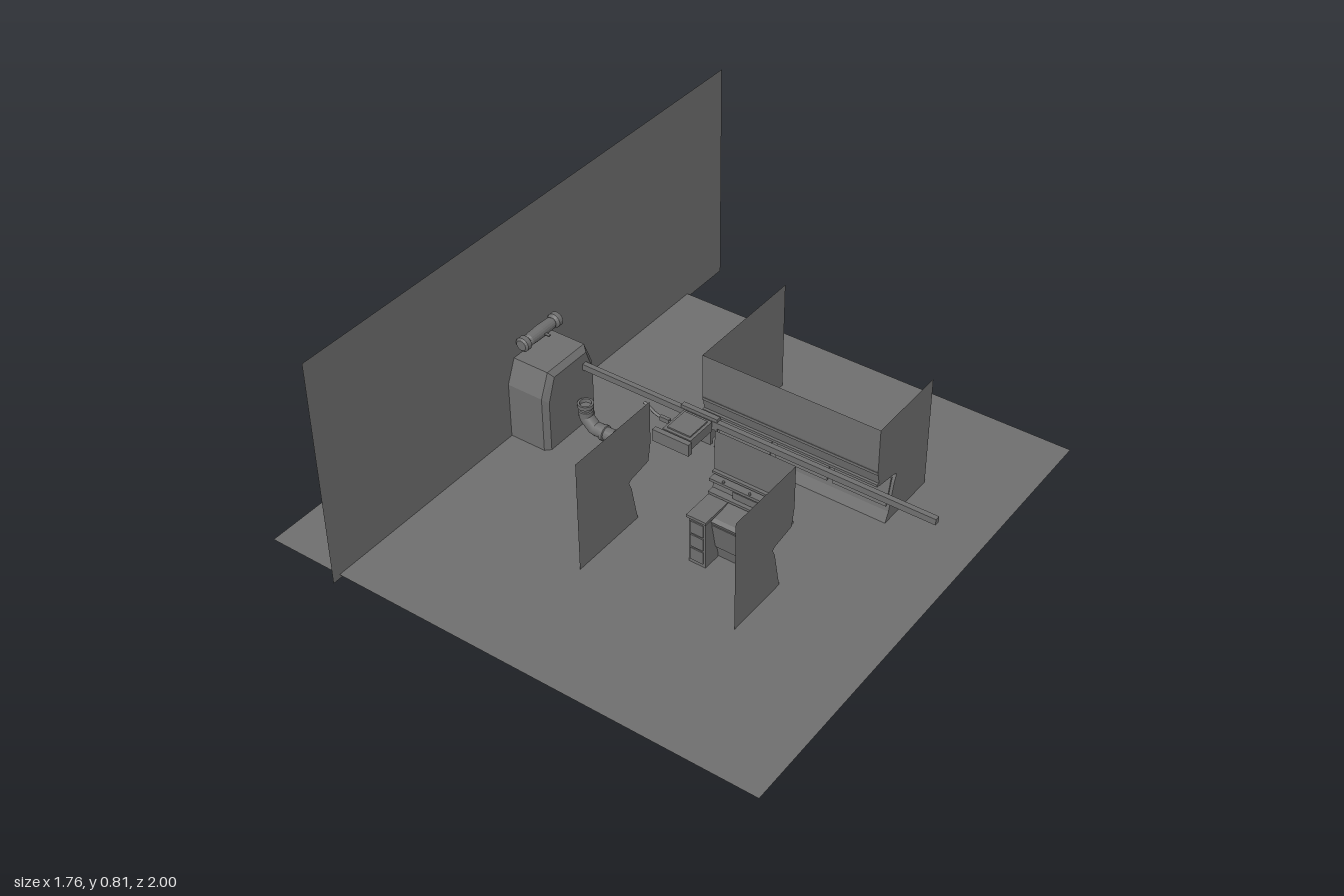
import * as THREE from 'three';

const mat = new THREE.MeshStandardMaterial({ color: 0x6f6f6f, side: THREE.DoubleSide });
const flat = new THREE.MeshStandardMaterial({ color: 0x6f6f6f, side: THREE.DoubleSide, flatShading: true });
const FLOOR = 0.016;

function add(parent, name, geo, x = 0, y = 0, z = 0, material = mat) {
  const m = new THREE.Mesh(geo, material);
  m.name = name;
  m.position.set(x, y, z);
  parent.add(m);
  return m;
}

// box given by its limits on each axis
function box(parent, name, x0, x1, y0, y1, z0, z1) {
  return add(parent, name, new THREE.BoxGeometry(x1 - x0, y1 - y0, z1 - z0),
    (x0 + x1) / 2, (y0 + y1) / 2, (z0 + z1) / 2);
}

// flat outline of [z, y] points standing in the plane x
function sidePanel(parent, name, x, pts) {
  const geo = new THREE.ShapeGeometry(new THREE.Shape(pts.map(p => new THREE.Vector2(p[0], p[1]))));
  geo.rotateY(-Math.PI / 2);
  return add(parent, name, geo, x);
}

// open sheet through cross-sections { x, pts: [z, y] }
function loft(parent, name, rings) {
  const pos = [];
  for (let i = 0; i + 1 < rings.length; i++) {
    const a = rings[i], b = rings[i + 1];
    for (let j = 0; j + 1 < a.pts.length; j++) {
      const P = (r, k) => [r.x, r.pts[k][1], r.pts[k][0]];
      pos.push(...P(a, j), ...P(a, j + 1), ...P(b, j + 1), ...P(a, j), ...P(b, j + 1), ...P(b, j));
    }
  }
  const geo = new THREE.BufferGeometry();
  geo.setAttribute('position', new THREE.Float32BufferAttribute(pos, 3));
  geo.computeVertexNormals();
  return add(parent, name, geo, 0, 0, 0, flat);
}

function group(parent, name) {
  const g = new THREE.Group();
  g.name = name;
  parent.add(g);
  return g;
}

// lathe of [radius, length] points turned to lie along an axis
function turned(parent, name, pts, axis, x, y, z) {
  const geo = new THREE.LatheGeometry(pts.map(p => new THREE.Vector2(p[0], p[1])), 18);
  if (axis === 'x') geo.rotateZ(-Math.PI / 2);
  if (axis === 'z') geo.rotateX(Math.PI / 2);
  return add(parent, name, geo, x, y, z, flat);
}

// desk profile: upright back, sloping top, lip and receding kneehole
const backProfile = [[-0.091, 0.42], [-0.091, 0.265], [-0.103, 0.2], [-0.19, 0.186],
  [-0.207, 0.178], [-0.195, 0.15], [-0.172, 0.05], [-0.155, FLOOR]];
const frontProfile = [[0.187, 0.42], [0.187, 0.265], [0.199, 0.2], [0.285, 0.186],
  [0.297, 0.178], [0.285, 0.15], [0.265, 0.05], [0.257, FLOOR]];

function desk(root, name, profile, x0, x1, side) {
  const g = group(root, name);
  loft(g, 'deskShell', [{ x: x0, pts: profile }, { x: x1, pts: profile }]);
  // stacked instrument ledges, the middle one with a row of knobs
  const z0 = profile[1][0];
  for (const [y0, y1, d] of [[0.268, 0.276, 0.012], [0.248, 0.258, 0.028], [0.203, 0.212, 0.034]]) {
    const zs = [z0, z0 + side * d].sort((a, b) => a - b);
    box(g, 'ledge', x0, x1, y0, y1, zs[0], zs[1]);
  }
  const n = Math.round((x1 - x0) / 0.1);
  for (let i = 0; i < n; i++) {
    const x = x0 + (i + 0.5) * (x1 - x0) / n;
    add(g, 'knob', new THREE.CylinderGeometry(0.004, 0.004, 0.008, 8), x, 0.26, z0 + side * 0.021);
  }
  // inset fronts under the desk, following its slope
  const [pa, pb] = [profile[5], profile[6]];
  const tilt = Math.atan2(pa[0] - pb[0], pa[1] - pb[1]);
  const bays = Math.round((x1 - x0) / 0.21);
  const w = (x1 - x0) / bays;
  for (let i = 0; i < bays; i++) {
    const m = add(g, 'kneePanel', new THREE.BoxGeometry(w - 0.02, 0.1, 0.012),
      x0 + (i + 0.5) * w, 0.115, pb[0] + (pa[0] - pb[0]) * 0.65);
    m.rotation.x = tilt;
  }
  return g;
}

export function createModel() {
  const root = new THREE.Group();
  root.name = 'controlRoom';

  // floor and long wall
  const floor = add(root, 'floor', new THREE.PlaneGeometry(1.765, 1.77), 0, FLOOR - 0.001, 0.087);
  floor.rotation.x = -Math.PI / 2;
  const wall = add(root, 'wall', new THREE.PlaneGeometry(2, 0.813), -0.613, 0.4065, 0);
  wall.rotation.y = Math.PI / 2;

  // desks and the partitions cut to their profile
  desk(root, 'rearDesk', backProfile, -0.05, 0.585, -1);
  const fd = desk(root, 'frontDesk', frontProfile, 0.19, 0.47, 1);
  const partitions = [[-0.05, backProfile, -0.55], [0.585, backProfile, -0.393],
    [-0.045, frontProfile, 0.545], [0.472, frontProfile, 0.49]];
  for (const [x, prof, zEnd] of partitions)
    sidePanel(root, 'partition', x, [...prof, [zEnd, FLOOR], [zEnd, 0.42]]);

  // cabinet wing on the front desk
  box(fd, 'cabinet', 0.195, 0.255, FLOOR, 0.19, 0.26, 0.325);
  box(fd, 'cabinetTop', 0.19, 0.26, 0.19, 0.2, 0.2, 0.332);
  for (let i = 0; i < 3; i++)
    box(fd, 'drawer', 0.202, 0.248, 0.03 + i * 0.052, 0.075 + i * 0.052, 0.325, 0.329);
  box(fd, 'instrumentBar', 0.27, 0.465, 0.215, 0.24, 0.19, 0.21);

  // machine housing through the wall, open at the back
  const housing = group(root, 'housing');
  const outer = [[0.17, FLOOR], [0.17, 0.22], [0.135, 0.304], [-0.05, 0.304], [-0.085, 0.22], [-0.085, FLOOR]];
  const inner = outer.map(([z, y]) => [0.0425 + (z - 0.0425) * 0.87, y > 0.1 ? y - 0.018 : y]);
  loft(housing, 'housingShell', [{ x: -0.677, pts: outer }, { x: -0.48, pts: outer }, { x: -0.463, pts: inner }]);
  sidePanel(housing, 'housingFace', -0.463, inner);

  // drum above the housing
  const drum = group(root, 'drum');
  turned(drum, 'drumBody', [[0, -0.093], [0.018, -0.093], [0.025, -0.087], [0.025, -0.07], [0.016, -0.062],
    [0.02, -0.055], [0.022, 0], [0.02, 0.055], [0.016, 0.062], [0.025, 0.07], [0.025, 0.087],
    [0.018, 0.093], [0, 0.093]], 'z', -0.585, 0.36, 0.037);
  box(drum, 'drumTab', -0.563, -0.545, 0.358, 0.362, 0.032, 0.042);

  // long rail
  box(root, 'rail', -0.465, 0.825, 0.228, 0.25, -0.036, -0.018);

  // carriage riding on the rail
  const carriage = group(root, 'carriage');
  box(carriage, 'carriageBody', -0.06, 0.045, 0.222, 0.258, -0.008, 0.105);
  box(carriage, 'carriageTop', -0.05, 0.035, 0.258, 0.263, 0.003, 0.094);
  for (const z of [-0.028, 0.122]) box(carriage, 'sideBar', -0.08, 0.055, 0.218, 0.262, z - 0.009, z + 0.009);
  for (const x of [-0.045, 0.03]) box(carriage, 'crossBar', x - 0.006, x + 0.006, 0.232, 0.248, -0.025, 0.118);
  const handle = new THREE.CatmullRomCurve3([[-0.06, 0.238], [-0.095, 0.24], [-0.13, 0.248], [-0.152, 0.262], [-0.172, 0.272]]
    .map(p => new THREE.Vector3(p[0], p[1], 0.047)));
  add(carriage, 'handle', new THREE.TubeGeometry(handle, 16, 0.005, 8));
  box(carriage, 'handleGrip', -0.11, -0.075, 0.232, 0.248, 0.041, 0.053);

  // elbowed duct on the floor, made of straight lengths
  const duct = group(root, 'duct');
  const bend = new THREE.CurvePath();
  const joints = [[-0.43, 0.1], [-0.43, 0.078], [-0.395, 0.045], [-0.36, 0.045]]
    .map(p => new THREE.Vector3(p[0], p[1], 0.015));
  for (let i = 0; i < 3; i++) bend.add(new THREE.LineCurve3(joints[i], joints[i + 1]));
  add(duct, 'elbow', new THREE.TubeGeometry(bend, 18, 0.024, 14));
  turned(duct, 'ductFlange', [[0, -0.02], [0.024, -0.02], [0.024, -0.006], [0.02, -0.004], [0.02, 0.006],
    [0.027, 0.008], [0.027, 0.022], [0.02, 0.022], [0.018, 0.01], [0, 0.01]], 'y', -0.43, 0.11, 0.015);
  turned(duct, 'ductPipe', [[0, 0], [0.027, 0], [0.027, 0.012], [0.023, 0.014], [0.023, 0.045], [0.027, 0.047],
    [0.027, 0.057], [0.023, 0.059], [0.023, 0.1], [0.027, 0.102], [0.027, 0.115], [0.023, 0.117], [0.023, 0.135],
    [0, 0.135]], 'x', -0.363, 0.044, 0.015);
  for (const x of [-0.34, -0.25]) box(duct, 'ductFoot', x - 0.008, x + 0.008, FLOOR, 0.03, 0, 0.03);

  // small floor unit beside the rear desk
  const unit = group(root, 'floorUnit');
  box(unit, 'unitBody', -0.108, -0.067, 0.03, 0.085, -0.29, -0.17);
  box(unit, 'unitCap', -0.098, -0.071, 0.085, 0.097, -0.28, -0.18);
  for (const z of [-0.297, -0.163]) box(unit, 'unitEnd', -0.108, -0.065, FLOOR, 0.09, z - 0.006, z + 0.006);
  box(unit, 'unitPlate', -0.117, -0.113, 0.035, 0.08, -0.285, -0.175);
  box(unit, 'plateStem', -0.114, -0.106, 0.052, 0.062, -0.235, -0.225);

  return root;
}
